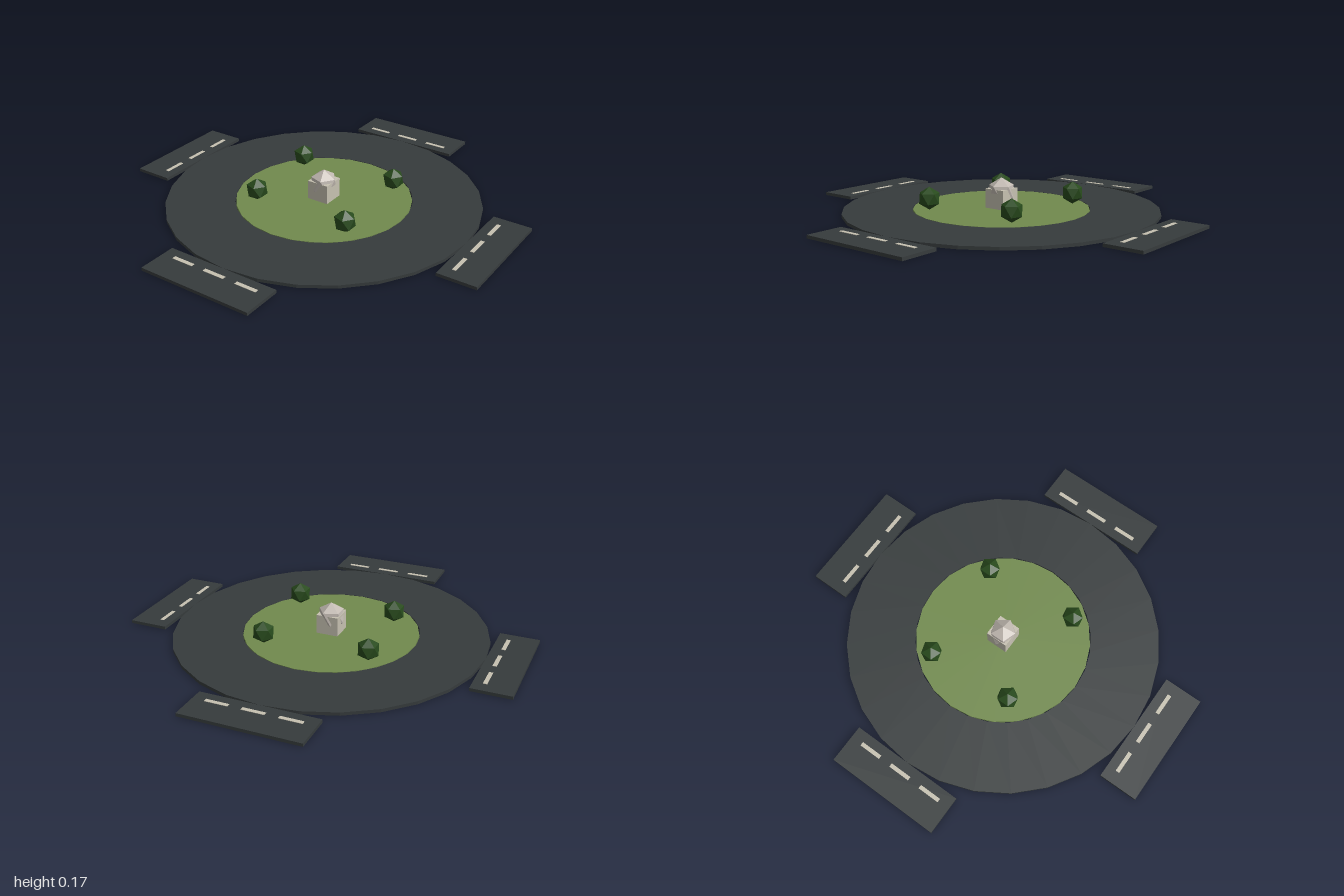
import * as THREE from 'three';

const mat = (name, color) => {
  const m = new THREE.MeshStandardMaterial({ color, flatShading: true });
  m.name = name;
  return m;
};

export function createModel() {
  const asphalt = mat('asphalt', 0x363b3c);
  const grass = mat('grass', 0x718a4d);
  const leaf = mat('leaf', 0x284a1c);
  const stone = mat('stone', 0xc2bab2);
  const paint = mat('paleStone', 0xc6c1b1);

  const model = new THREE.Group();
  model.name = 'roundabout';
  const H = 0.016; // slab thickness

  const add = (parent, name, geometry, material, x = 0, y = 0, z = 0) => {
    const mesh = new THREE.Mesh(geometry, material);
    mesh.name = name;
    mesh.position.set(x, y, z);
    parent.add(mesh);
    return mesh;
  };

  // Icosahedron standing on a corner, with an upper-ring corner toward +x
  const ico = (r) => new THREE.IcosahedronGeometry(r, 0)
    .rotateZ(-Math.atan(2 / (1 + Math.sqrt(5))));

  // Circular carriageway: square-edged ring
  const profile = [[0.45, 0], [0.8, 0], [0.8, H], [0.45, H], [0.45, 0]]
    .map(([x, y]) => new THREE.Vector2(x, y));
  add(model, 'roadRing', new THREE.LatheGeometry(profile, 28), asphalt);

  // Grass island, its coarser outline leaving slivers beside the ring
  add(model, 'grassIsland', new THREE.CylinderGeometry(0.447, 0.447, H - 0.001, 24),
    grass, 0, H / 2 + 0.0005, 0);

  // Four approach roads with dashed lines near the ring
  for (let i = 0; i < 4; i++) {
    const road = new THREE.Group();
    road.name = 'approachRoad';
    road.rotation.y = i * Math.PI / 2;
    add(road, 'roadSlab', new THREE.BoxGeometry(0.6, H, 0.2), asphalt, 0, H / 2, 0.9);
    for (const x of [-0.18, 0, 0.18]) {
      add(road, 'laneDash', new THREE.BoxGeometry(0.115, 0.002, 0.02), paint,
        x, H + 0.001, 0.857);
    }
    model.add(road);
  }

  // Central monument: faceted stone sunk into a square plinth
  const monument = new THREE.Group();
  monument.name = 'monument';
  add(monument, 'plinth', new THREE.BoxGeometry(0.115, 0.115, 0.115), paint, 0, 0.0575, 0);
  add(monument, 'facetedStone', ico(0.072), stone, 0, 0.098, 0);
  model.add(monument);

  // Faceted shrubs
  for (const [x, z] of [[-0.29, -0.235], [0.25, -0.265], [0.28, 0.235], [-0.26, 0.215]]) {
    add(model, 'shrub', ico(0.058), leaf, x, 0.077, z);
  }

  return model;
}
